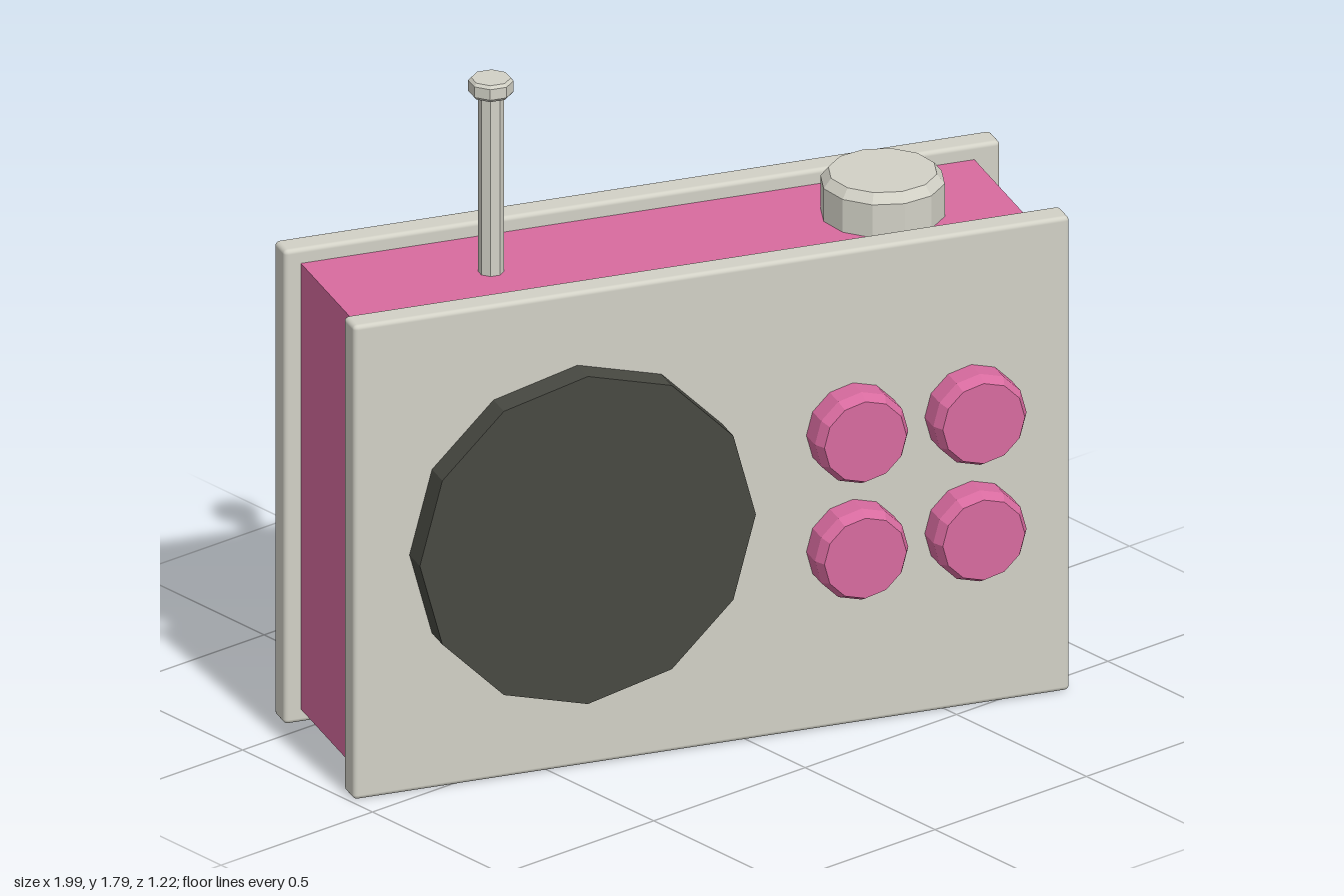
import * as THREE from 'three';
import { RoundedBoxGeometry } from 'three/addons/geometries/RoundedBoxGeometry.js';

function material(name, color) {
  const m = new THREE.MeshStandardMaterial({ color });
  m.name = name;
  return m;
}

// Faceted turned part: profile is [radius, height] pairs from bottom to top.
function turned(profile, sides, startAngle = 0) {
  const points = profile.map(([r, h]) => new THREE.Vector2(r, h));
  const geometry = new THREE.LatheGeometry(points, sides, startAngle).toNonIndexed();
  geometry.computeVertexNormals();
  return geometry;
}

export function createModel() {
  const shell = material('warm grey', 0xd2d1c6);
  const pink = material('pink', 0xd86b9f);
  const dark = material('charcoal', 0x484942);

  const radio = new THREE.Group();
  radio.name = 'radio';

  function add(name, geometry, mat, x, y, z, facesFront = false) {
    const mesh = new THREE.Mesh(geometry, mat);
    mesh.name = name;
    mesh.position.set(x, y, z);
    if (facesFront) mesh.rotation.x = Math.PI / 2;
    radio.add(mesh);
  }

  // Inset body between two overhanging plates
  add('body', new THREE.BoxGeometry(1.804, 1.225, 0.44), pink, -0.013, 0.6575, -0.024);
  const plate = new RoundedBoxGeometry(1.918, 1.302, 0.074, 2, 0.012);
  add('frontPlate', plate, shell, 0, 0.659, 0.224);
  add('backPlate', plate, shell, 0, 0.659, -0.27);

  // Speaker disc on the front
  const speaker = turned([[0, 0], [0.45, 0], [0.45, 0.085], [0, 0.085]], 12);
  add('speaker', speaker, dark, -0.36, 0.66, 0.25, true);

  // Two by two grid of bevelled buttons
  const button = turned([[0, 0], [0.125, 0], [0.125, 0.072], [0.11, 0.1], [0, 0.1]], 12);
  for (const x of [0.378, 0.695]) {
    for (const y of [0.5, 0.82]) add('button', button, pink, x, y, 0.25, true);
  }

  // Tuning dial on top
  const dial = turned([[0, 0], [0.158, 0], [0.158, 0.1], [0.138, 0.125], [0, 0.125]], 12);
  add('dial', dial, shell, 0.56, 1.26, -0.012);

  // Antenna rod with a wider cap
  const rod = turned([[0, 0], [0.033, 0], [0.033, 0.51], [0, 0.51]], 8, Math.PI / 8);
  add('antennaRod', rod, shell, -0.486, 1.26, -0.02);
  const cap = turned([[0, 0], [0.05, 0], [0.057, 0.008], [0.057, 0.037], [0.05, 0.045], [0, 0.045]], 8, Math.PI / 8);
  add('antennaCap', cap, shell, -0.486, 1.757, -0.02);

  // The whole radio stands turned about the vertical axis
  radio.rotation.y = -THREE.MathUtils.degToRad(20);

  const model = new THREE.Group();
  model.name = 'portableRadio';
  model.add(radio);
  return model;
}
